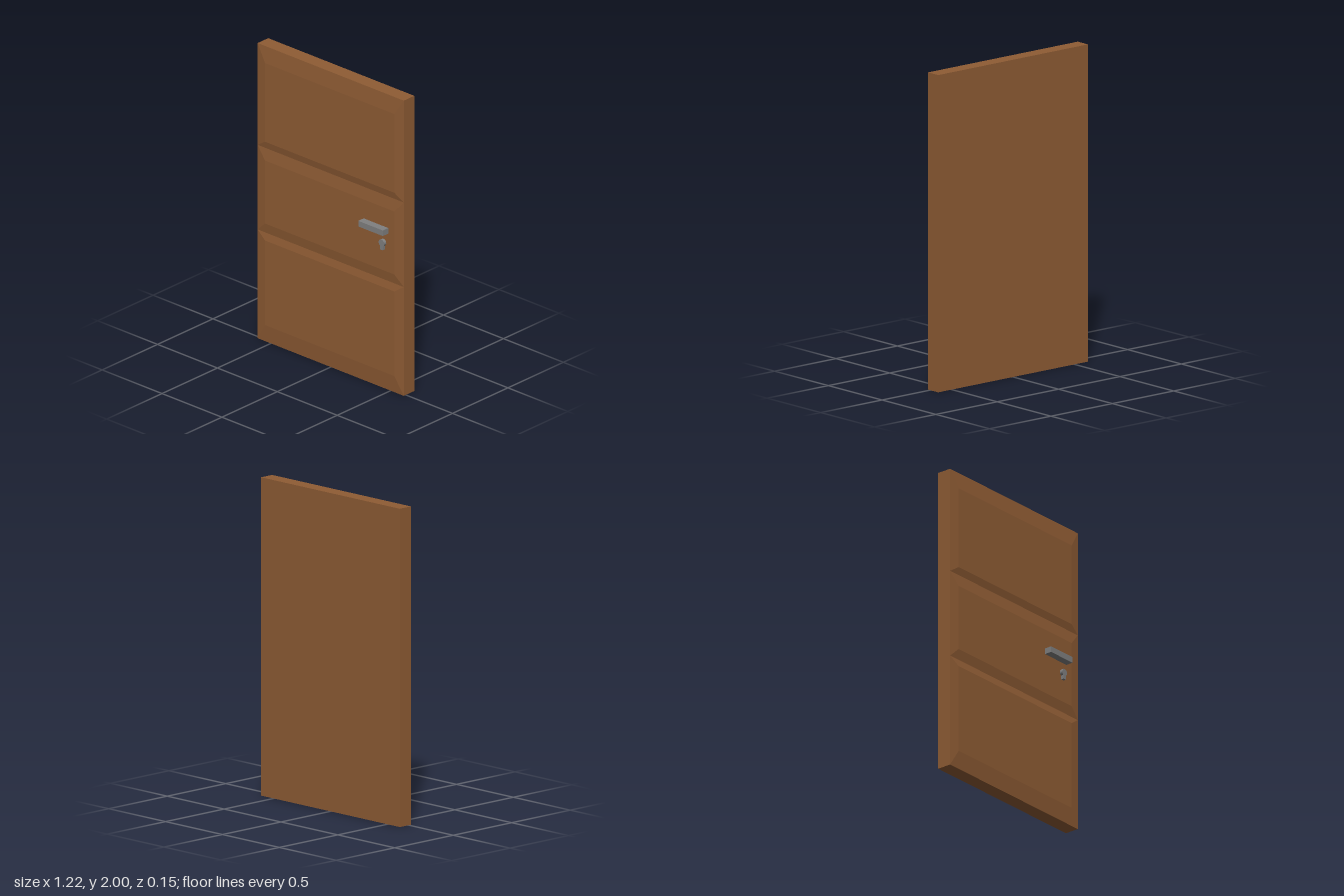
import * as THREE from 'three';

const HALF_W = 0.61, BACK = -0.077, BASE = 0.018, FACE = 0.028;

// Raised field with four sloping borders: outer rectangle at BASE, inner one at FACE
function raisedPanel(y0, y1, in0, in1) {
  const inX = 0.54;
  const ring = (x, a, b, z) => [[-x, a, z], [x, a, z], [x, b, z], [-x, b, z]];
  const o = ring(HALF_W, y0, y1, BASE), n = ring(inX, in0, in1, FACE);
  const pos = [];
  const quad = (a, b, c, d) => pos.push(...a, ...b, ...c, ...a, ...c, ...d);
  for (let i = 0; i < 4; i++) {
    const j = (i + 1) % 4;
    quad(o[i], o[j], n[j], n[i]);
  }
  quad(...n);
  const geo = new THREE.BufferGeometry();
  geo.setAttribute('position', new THREE.Float32BufferAttribute(pos, 3));
  geo.computeVertexNormals();
  return geo;
}

export function createModel() {
  const door = new THREE.Group();
  door.name = 'door';
  const wood = new THREE.MeshStandardMaterial({ color: 0x8f5c34 });
  wood.name = 'brown wood';
  const metal = new THREE.MeshStandardMaterial({ color: 0x808080 });
  metal.name = 'grey metal';

  const add = (name, geo, mat, x = 0, y = 0, z = 0) => {
    const mesh = new THREE.Mesh(geo, mat);
    mesh.name = name;
    mesh.position.set(x, y, z);
    door.add(mesh);
  };

  // Slab, without a front face since the panels cover it
  const slab = new THREE.BoxGeometry(HALF_W * 2, 2, BASE - BACK);
  const index = Array.from(slab.index.array);
  index.splice(24, 6);
  slab.setIndex(index);
  slab.clearGroups();
  add('slab', slab, wood, 0, 1, (BASE + BACK) / 2);

  // Three stacked panels: outer bottom, outer top, inner bottom, inner top
  add('bottomPanel', raisedPanel(0, 0.737, 0.115, 0.688), wood);
  add('middlePanel', raisedPanel(0.737, 1.31, 0.803, 1.23), wood);
  add('topPanel', raisedPanel(1.31, 2, 1.357, 1.89), wood);

  // Handle bar
  add('handle', new THREE.BoxGeometry(0.205, 0.038, 0.049), metal, 0.387, 1.083, 0.0525);

  // Keyhole plate: round head with a narrow stem
  const key = new THREE.Shape();
  key.moveTo(-0.011, -0.046);
  key.lineTo(0.011, -0.046);
  key.absarc(0, 0, 0.023, -Math.PI / 3, Math.PI * 4 / 3, false);
  key.closePath();
  const plate = new THREE.ExtrudeGeometry(key, { depth: 0.02, bevelEnabled: false, curveSegments: 12 });
  add('keyhole', plate, metal, 0.45, 0.994, 0.027);

  return door;
}
